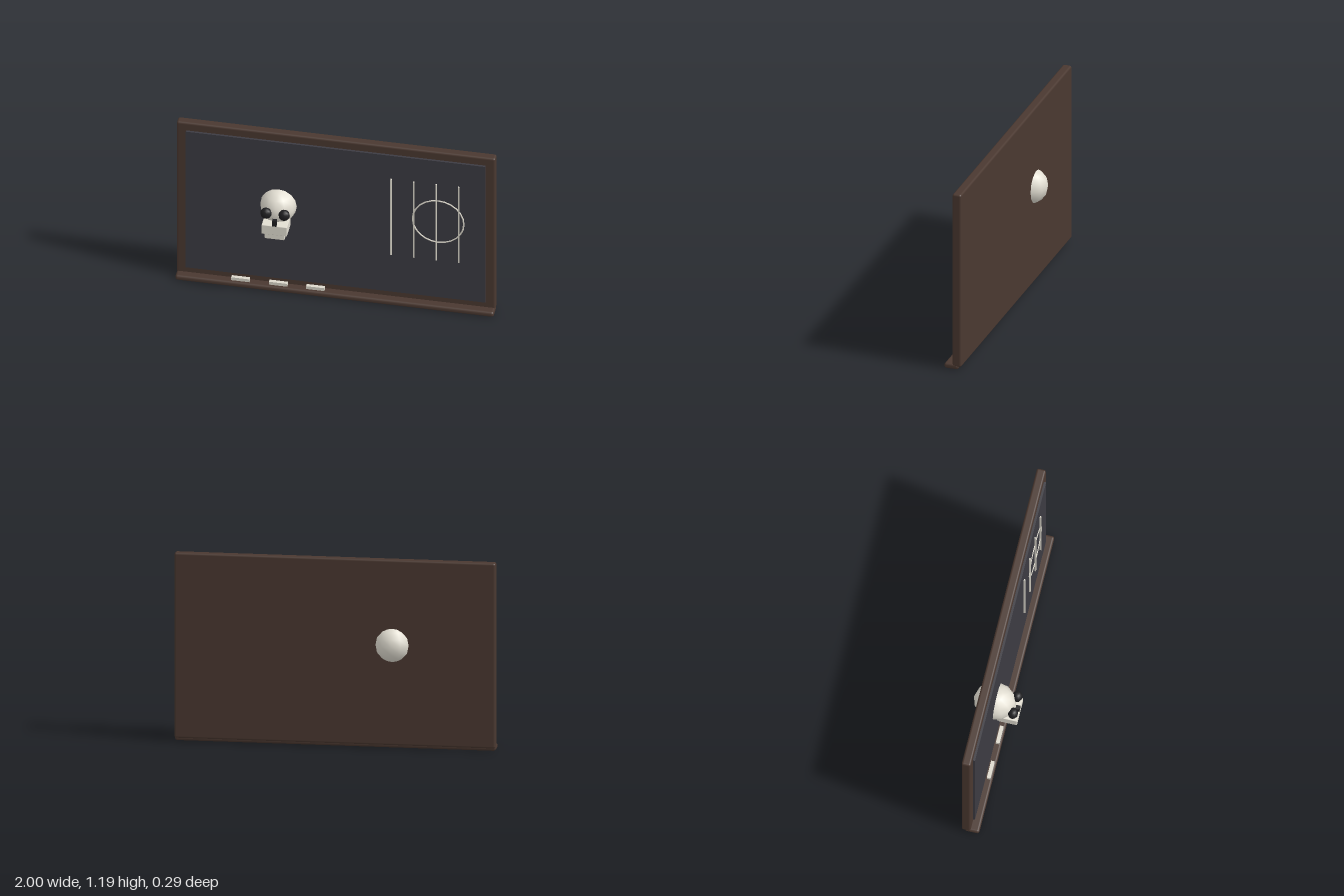
import * as THREE from 'three';
import { RoundedBoxGeometry } from 'three/addons/geometries/RoundedBoxGeometry.js';

const paint = (color) => new THREE.MeshStandardMaterial({ color });
const wood = paint(0x4a3830);
const slate = paint(0x3c3b42);
const bone = paint(0xe2ded2);
const dark = paint(0x1e1e20);
const chalkWhite = paint(0xdcd8cc);

function add(parent, name, geometry, material, x, y, z) {
  const mesh = new THREE.Mesh(geometry, material);
  mesh.name = name;
  mesh.position.set(x, y, z);
  parent.add(mesh);
  return mesh;
}

// Sphere stretched to separate radii
const ellipsoid = (rx, ry, rz, w, h) => new THREE.SphereGeometry(1, w, h).scale(rx, ry, rz);

function createSkull() {
  const skull = new THREE.Group();
  skull.name = 'skull';
  skull.position.x = -0.357;
  add(skull, 'cranium', ellipsoid(0.117, 0.12, 0.133, 12, 8), bone, 0, 0.655, -0.013);
  for (const side of [-1, 1]) {
    add(skull, side > 0 ? 'leftEyeSocket' : 'rightEyeSocket',
      ellipsoid(0.036, 0.037, 0.032, 10, 8), dark, side * 0.057, 0.667, 0.115);
  }
  add(skull, 'noseHole', new THREE.BoxGeometry(0.028, 0.04, 0.026), dark, 0, 0.613, 0.132);
  add(skull, 'upperJaw', new RoundedBoxGeometry(0.16, 0.069, 0.118, 1, 0.004), bone, 0, 0.5605, 0.086);
  add(skull, 'lowerJaw', new RoundedBoxGeometry(0.125, 0.043, 0.119, 1, 0.004), bone, 0, 0.506, 0.074);
  return skull;
}

export function createModel() {
  const model = new THREE.Group();
  model.name = 'chalkboard';

  // Wooden backing, writing surface and chalk tray
  add(model, 'frame', new RoundedBoxGeometry(2, 1.175, 0.058, 3, 0.013), wood, 0, 0.6075, -0.043);
  add(model, 'board', new THREE.BoxGeometry(1.88, 1.058, 0.03), slate, 0, 0.609, -0.015);
  add(model, 'chalkTray', new RoundedBoxGeometry(2, 0.036, 0.092, 3, 0.015), wood, 0, 0.018, -0.006);

  // Chalk sticks on the tray
  for (const x of [-0.592, -0.355, -0.122]) {
    add(model, 'chalk', new THREE.BoxGeometry(0.115, 0.022, 0.023), chalkWhite, x, 0.055, 0.0165);
  }

  model.add(createSkull());

  // Chalk drawing: four upright lines and a ring
  const drawing = new THREE.Group();
  drawing.name = 'chalkDrawing';
  for (const x of [0.35, 0.492, 0.633, 0.775]) {
    add(drawing, 'chalkLine', new THREE.BoxGeometry(0.009, 0.588, 0.01), chalkWhite, x, 0.666, 0.005);
  }
  add(drawing, 'chalkRing', new THREE.TorusGeometry(0.161, 0.005, 6, 24), chalkWhite, 0.645, 0.67, 0.001);
  model.add(drawing);

  return model;
}
